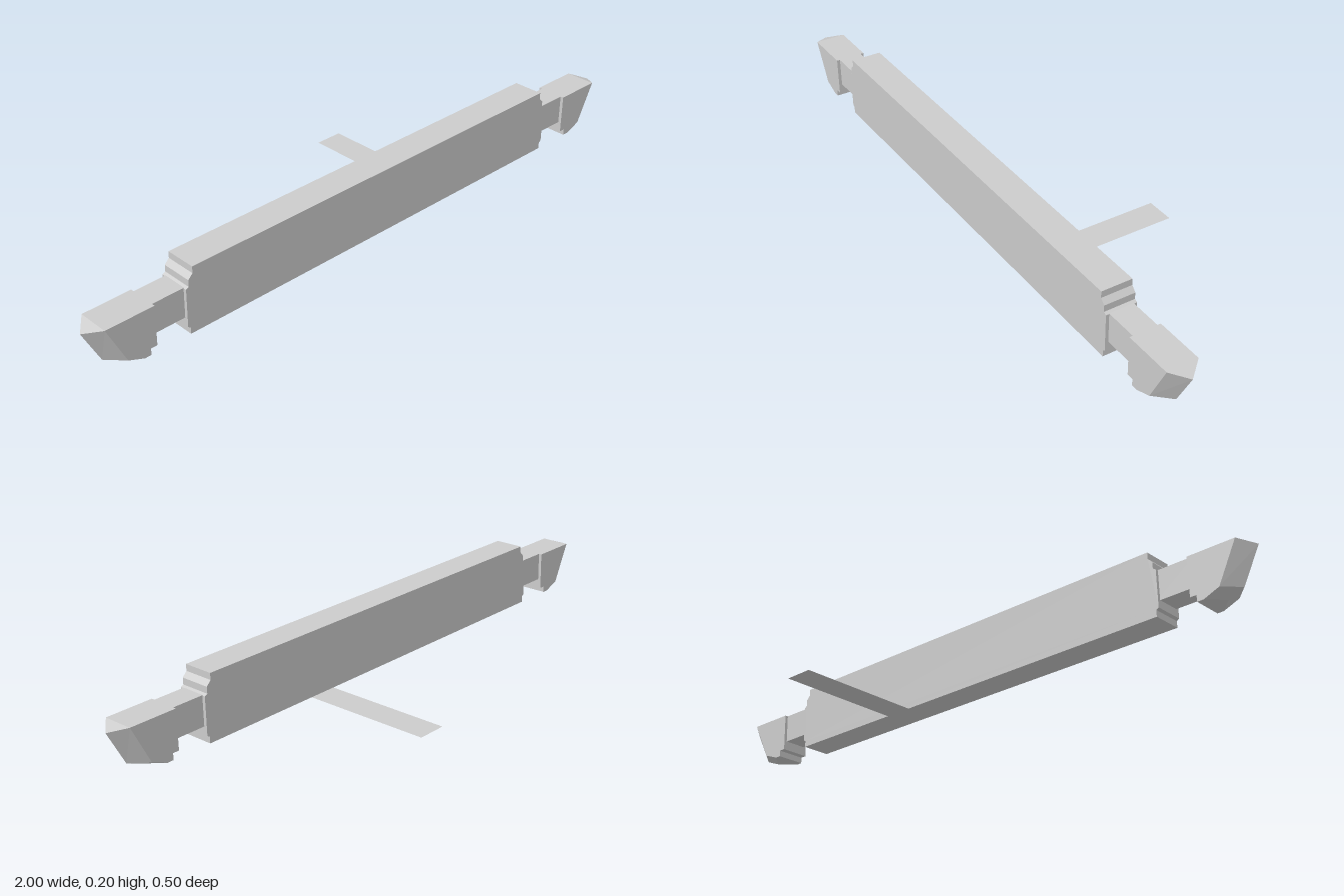
import * as THREE from 'three';

const MID_Z = 0.205, HALF = 0.0475;
const material = new THREE.MeshStandardMaterial({ color: 0xcccccc, flatShading: true });

function addMesh(parent, name, geometry, mat = material) {
  const mesh = new THREE.Mesh(geometry, mat);
  mesh.name = name;
  parent.add(mesh);
  return mesh;
}

// Wedge-nosed hook, lofted from five-cornered horizontal sections
function hookGeometry() {
  // [height, inner x, side x, ridge x, ridge height]
  const sections = [
    [0, 0.83, 0.85, 0.895, 0],
    [0.02, 0.83, 0.90, 0.945, 0.02],
    [0.02, 0.81, 0.90, 0.945, 0.02],
    [0.141, 0.81, 0.96, 1.0, 0.126],
  ];
  const points = [], index = [];
  for (const [y, inner, side, ridge, ridgeY] of sections) {
    points.push(inner, y, -HALF, side, y, -HALF, ridge, ridgeY, 0, side, y, HALF, inner, y, HALF);
  }
  for (let s = 0; s < sections.length - 1; s++) {
    for (let i = 0; i < 5; i++) {
      const a = s * 5 + i, b = s * 5 + (i + 1) % 5;
      index.push(a, a + 5, b, b, a + 5, b + 5);
    }
  }
  // Caps: a rectangle plus the nose triangle
  const top = (sections.length - 1) * 5;
  for (const [a, b, c] of [[0, 1, 3], [0, 3, 4], [1, 2, 3]]) {
    index.push(a, b, c, top + a, top + c, top + b);
  }
  const geometry = new THREE.BufferGeometry();
  geometry.setAttribute('position', new THREE.Float32BufferAttribute(points, 3));
  geometry.setIndex(index);
  const flat = geometry.toNonIndexed();
  flat.computeVertexNormals();
  return flat;
}

export function createModel() {
  const model = new THREE.Group();
  model.name = 'crossBar';

  // Main beam with stepped ends
  const end = [
    [0.703, 0], [0.703, 0.02], [0.711, 0.025], [0.711, 0.14],
    [0.702, 0.145], [0.702, 0.165], [0.688, 0.18], [0.688, 0.2],
  ];
  const outline = [...end, ...end.map(([x, y]) => [-x, y]).reverse()];
  const shape = new THREE.Shape(outline.map(([x, y]) => new THREE.Vector2(x, y)));
  const beam = new THREE.ExtrudeGeometry(shape, { depth: 2 * HALF, bevelEnabled: false });
  addMesh(model, 'beam', beam).position.z = MID_Z - HALF;

  // Neck and hook at each end
  const hook = hookGeometry();
  for (const [name, turn] of [['leftEnd', 0], ['rightEnd', Math.PI]]) {
    const group = new THREE.Group();
    group.name = name;
    group.position.z = MID_Z;
    group.rotation.y = turn;
    addMesh(group, 'neck', new THREE.BoxGeometry(0.13, 0.091, 0.075)).position.set(0.76, 0.0955, 0);
    addMesh(group, 'hook', hook);
    model.add(group);
  }

  // Thin flat strip reaching back from the beam's lower edge
  const thin = material.clone();
  thin.side = THREE.DoubleSide;
  const strip = new THREE.PlaneGeometry(0.09, 0.41).rotateX(-Math.PI / 2);
  addMesh(model, 'rearStrip', strip, thin).position.set(0.27, 0, -0.0475);

  return model;
}
